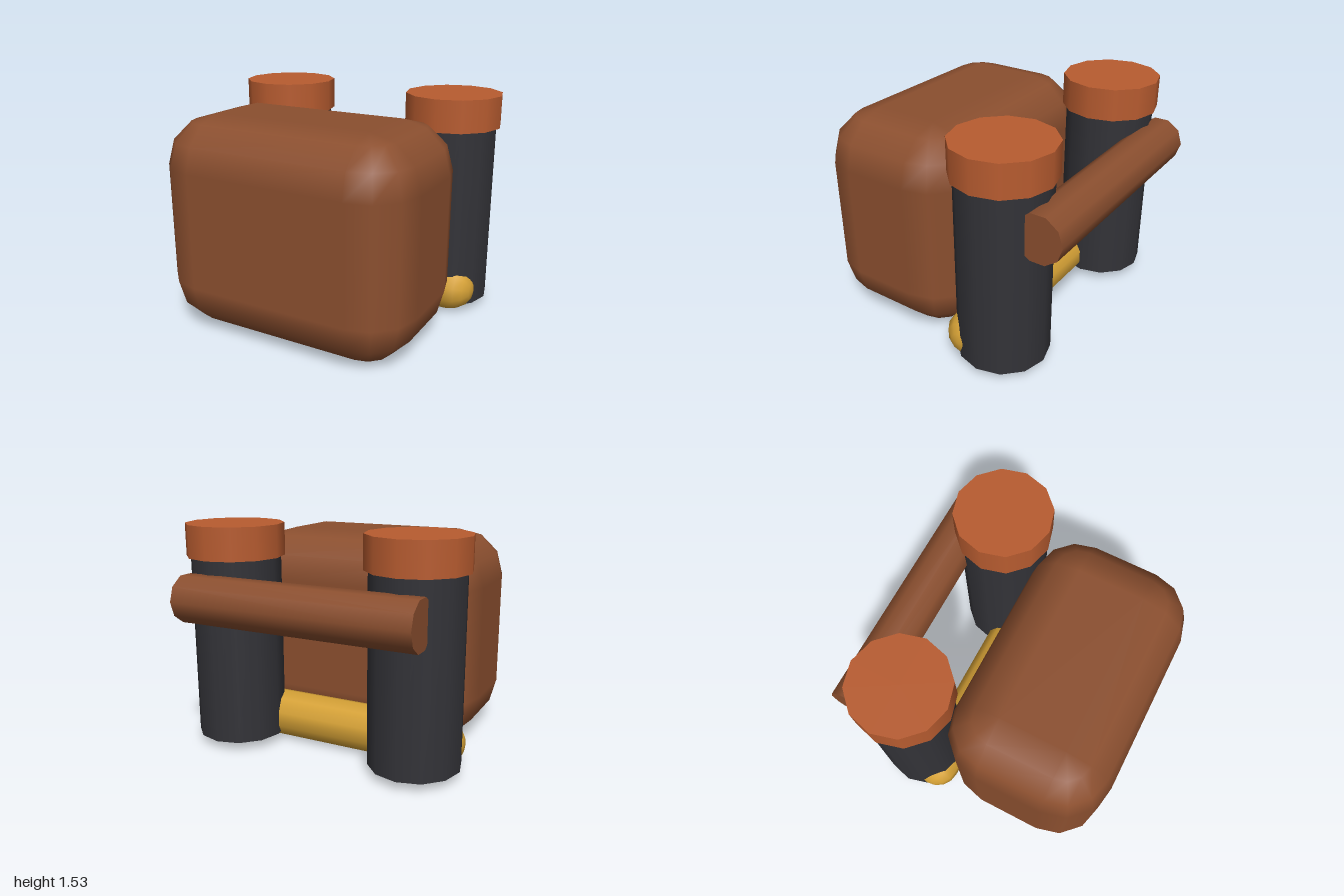
import * as THREE from 'three';

const mat = (color) => new THREE.MeshStandardMaterial({ color });

// Box with every edge rounded by a few steps, built as stacked rounded rings
function softBox(w, h, d, r, steps) {
  const pos = [], nor = [], idx = [];
  const n = 4 * (steps + 1);
  const bx = w / 2 - r, by = h / 2 - r, bz = d / 2 - r;
  const lats = [];
  for (const side of [-1, 1]) {
    for (let i = 0; i <= steps; i++) {
      const a = (i / steps) * Math.PI / 2;
      lats.push([side, side < 0 ? a - Math.PI / 2 : a]);
    }
  }
  for (const [side, lat] of lats) {
    for (let q = 0; q < 4; q++) {
      const sx = q === 0 || q === 3 ? 1 : -1, sz = q < 2 ? 1 : -1;
      for (let i = 0; i <= steps; i++) {
        const a = (q + i / steps) * Math.PI / 2;
        const nx = Math.cos(lat) * Math.cos(a), ny = Math.sin(lat), nz = Math.cos(lat) * Math.sin(a);
        pos.push(sx * bx + r * nx, side * by + r * ny, sz * bz + r * nz);
        nor.push(nx, ny, nz);
      }
    }
  }
  for (let k = 0; k < lats.length - 1; k++) {
    for (let i = 0; i < n; i++) {
      const a = k * n + i, b = k * n + (i + 1) % n;
      idx.push(a, a + n, b, b, a + n, b + n);
    }
  }
  // Flat bottom and top
  const top = (lats.length - 1) * n;
  for (let i = 1; i < n - 1; i++) {
    idx.push(0, i, i + 1, top, top + i + 1, top + i);
  }
  const geo = new THREE.BufferGeometry();
  geo.setAttribute('position', new THREE.Float32BufferAttribute(pos, 3));
  geo.setAttribute('normal', new THREE.Float32BufferAttribute(nor, 3));
  geo.setIndex(idx);
  return geo;
}

export function createModel() {
  const group = new THREE.Group();
  const brown = mat(0x8b4f2f), orange = mat(0xb85c30), dark = mat(0x333338), gold = mat(0xd4a035);

  const add = (name, geo, material, x, y, z) => {
    const mesh = new THREE.Mesh(geo, material);
    mesh.name = name;
    mesh.position.set(x, y, z);
    group.add(mesh);
  };

  // Large soft body at the front
  add('body', softBox(1.78, 1.445, 1.115, 0.335, 3), brown, 0, 0.7225, 0.388);

  // Two upright canisters with wider lids
  for (const [side, x] of [['left', 0.667], ['right', -0.667]]) {
    add(side + 'Canister', new THREE.CylinderGeometry(0.305, 0.305, 1.25, 12), dark, x, 0.685, -0.445);
    add(side + 'Lid', new THREE.CylinderGeometry(0.333, 0.333, 0.22, 12), orange, x, 1.42, -0.445);
  }

  // Round-ended roll along the bottom
  const roll = new THREE.CapsuleGeometry(0.163, 1.56, 4, 10).rotateZ(Math.PI / 2);
  add('bottomRoll', roll, gold, 0, 0.163, -0.278);

  // Crossbar behind the canisters
  const bar = new THREE.CylinderGeometry(0.163, 0.163, 1.66, 10).rotateZ(Math.PI / 2);
  add('backBar', bar, brown, 0, 1.06, -0.782);

  return group;
}
